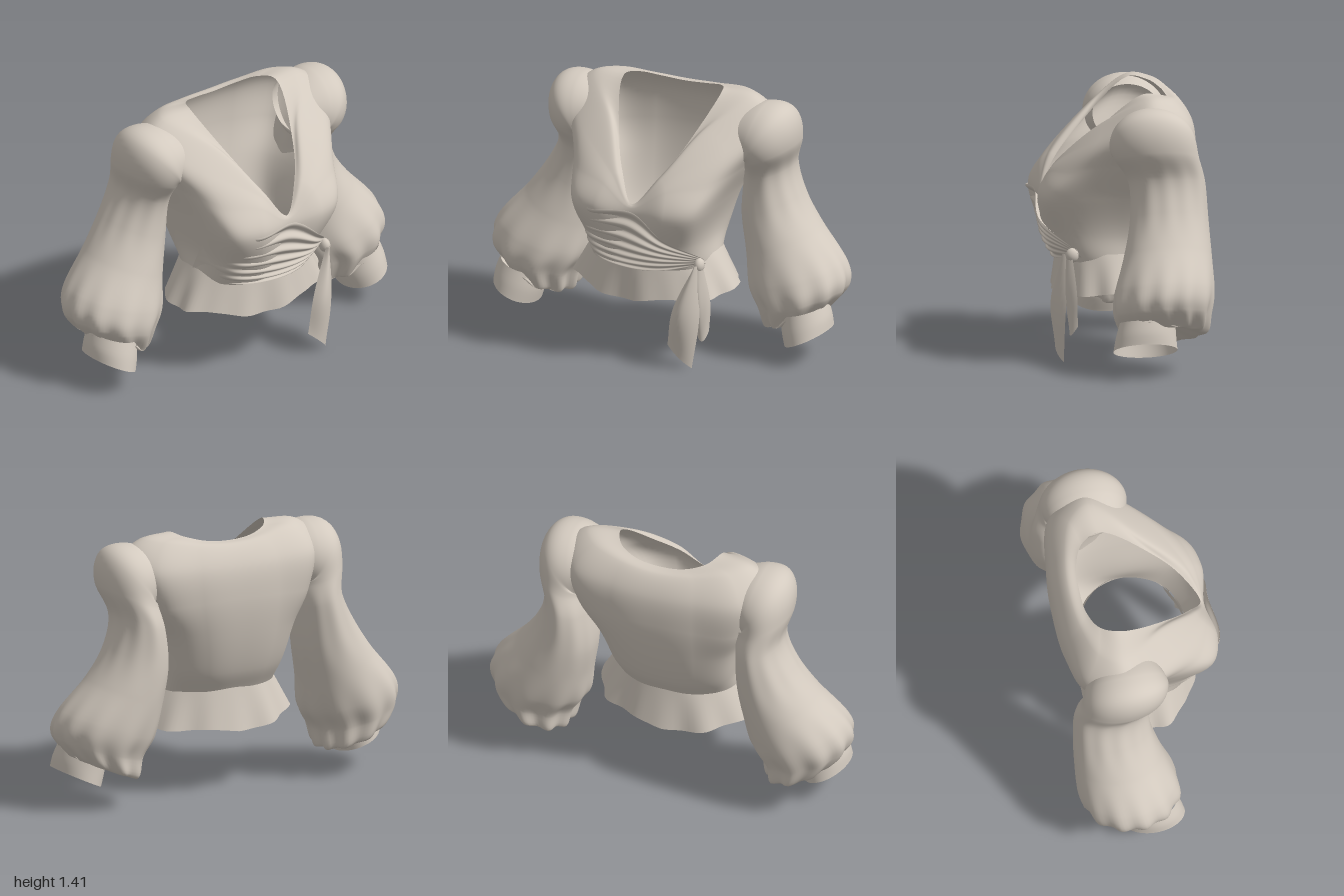
import * as THREE from 'three';
import { ParametricGeometry } from 'three/addons/geometries/ParametricGeometry.js';

const cloth = new THREE.MeshStandardMaterial({ color: 0xd3cabf, side: THREE.DoubleSide });
cloth.name = 'warm ivory cloth';

const vec = (p) => new THREE.Vector3(...p);
const smooth = THREE.MathUtils.smoothstep;
// The upper half of the garment hangs slightly towards +x
const lean = (p) => { p.x += 0.03 * smooth(p.y, 0.7, 1.2); return p; };

function surface(name, fn, slices, stacks) {
  const geo = new ParametricGeometry((u, v, target) => { fn(u, v, target); lean(target); }, slices, stacks);
  const mesh = new THREE.Mesh(geo, cloth);
  mesh.name = name;
  return mesh;
}

// Bodice: loops from waist to neckline, each a half outline from front centre to back centre
const bodiceLoops = [
  [[0, .52, .31], [.15, .52, .30], [.28, .52, .22], [.35, .53, .03], [.28, .55, -.16], [.15, .55, -.24], [0, .55, -.26]],
  [[0, .66, .37], [.16, .66, .37], [.29, .66, .29], [.335, .66, .03], [.31, .66, -.21], [.17, .66, -.30], [0, .66, -.32]],
  [[0, .84, .40], [.2, .87, .43], [.345, .87, .37], [.39, .87, .05], [.36, .87, -.27], [.2, .87, -.36], [0, .87, -.38]],
  [[0, .88, .395], [.18, .99, .375], [.38, 1.02, .275], [.465, 1.05, .02], [.435, 1.05, -.315], [.22, 1.07, -.39], [0, 1.08, -.405]],
  [[0, .89, .39], [.15, 1.03, .34], [.41, 1.18, .15], [.57, 1.28, -.10], [.47, 1.25, -.32], [.22, 1.25, -.375], [0, 1.25, -.385]],
  [[0, .895, .385], [.12, 1.04, .325], [.28, 1.26, .11], [.46, 1.39, -.12], [.38, 1.385, -.24], [.19, 1.36, -.30], [0, 1.35, -.315]],
  [[0, .90, .38], [.10, 1.03, .30], [.18, 1.16, .18], [.28, 1.405, -.10], [.235, 1.395, -.20], [.13, 1.37, -.25], [0, 1.36, -.26]],
];

function makeBodice() {
  const columns = bodiceLoops[0].map((_, c) => new THREE.CatmullRomCurve3(bodiceLoops.map((loop) => vec(loop[c]))));
  const cache = new Map();
  const loopAt = (v) => {
    if (!cache.has(v)) {
      const half = columns.map((c) => c.getPoint(v));
      const other = half.slice(1, -1).reverse().map((p) => new THREE.Vector3(-p.x, p.y, p.z));
      cache.set(v, new THREE.CatmullRomCurve3([...half, ...other], true));
    }
    return cache.get(v);
  };
  return surface('bodice', (u, v, t) => loopAt(v).getPoint(u, t), 96, 48);
}

// Cloth panel spanned by three edge curves, with ripples that fade out at both ends
function makePanel(name, edges, folds, depth, slices, stacks) {
  const curves = edges.map((e) => new THREE.CatmullRomCurve3(e.map(vec)));
  return surface(name, (u, v, t) => {
    const [a, m, b] = curves.map((c) => c.getPoint(u));
    t.copy(a).multiplyScalar((1 - v) * (1 - 2 * v))
      .addScaledVector(m, 4 * v * (1 - v))
      .addScaledVector(b, v * (2 * v - 1));
    t.z += depth * Math.sin(Math.PI * u) * Math.sin(v * folds * Math.PI * 2 + u * 2);
  }, slices, stacks);
}

// Tube through rings: [x, y, z, half width, half depth, tilt in degrees, pleat depth]
function makeTube(name, side, rings, pleats, stacks) {
  const at = (v, k) => {
    const f = Math.min(v * (rings.length - 1), rings.length - 1.000001);
    const i = Math.max(0, Math.floor(f));
    const r = (j) => rings[Math.min(Math.max(j, 0), rings.length - 1)][k];
    const w = f - i, p0 = r(i - 1), p1 = r(i), p2 = r(i + 1), p3 = r(i + 2);
    return p1 + 0.5 * w * (p2 - p0 + w * (2 * p0 - 5 * p1 + 4 * p2 - p3 + w * (3 * (p1 - p2) + p3 - p0)));
  };
  return surface(name, (u, v, t) => {
    const [x, y, z, a, b, tilt, pleat] = [0, 1, 2, 3, 4, 5, 6].map((k) => at(v, k));
    const ang = u * Math.PI * 2, rad = THREE.MathUtils.degToRad(tilt);
    const swell = 1 + pleat * Math.sin(ang * pleats + Math.sin(ang * 2));
    const w = a * swell * Math.cos(ang);
    t.set(side * (x + w * Math.cos(rad)), y + w * Math.sin(rad), z + b * swell * Math.sin(ang));
  }, 88, stacks);
}

const sleeveRings = [
  [.41, 1.19, -.115, .15, .18, 88, 0],
  [.49, 1.19, -.12, .19, .215, 78, 0],
  [.535, 1.18, -.125, .20, .225, 52, 0],
  [.55, 1.11, -.145, .155, .22, 22, 0],
  [.53, .98, -.20, .13, .20, 15, .01],
  [.555, .79, -.21, .168, .205, 22, .01],
  [.625, .605, -.195, .21, .23, 23, 0],
  [.715, .43, -.165, .265, .26, 16, .015],
  [.755, .32, -.15, .24, .25, 16, .04],
  [.735, .21, -.16, .185, .21, 22, .06],
  [.79, .26, -.08, .14, .155, 20, .05],
];
const cuffRings = [
  [.80, .285, -.065, .125, .145, 16, 0],
  [.815, .21, -.055, .135, .158, 20, 0],
  [.83, .14, -.05, .133, .168, 25, 0],
];

// Flared skirt below the waist with a wavy hem
function makePeplum() {
  return surface('peplum', (u, v, t) => {
    const a = u * Math.PI * 2, c = Math.cos(a);
    const wave = v * (0.009 * Math.sin(a * 9) + 0.005 * Math.sin(a * 14 + 1));
    const rx = 0.345 + 0.105 * v + wave;
    const rz = (c > 0 ? 0.28 + 0.02 * v : 0.295 + 0.045 * v) + wave;
    const hem = 0.335 + 0.035 * Math.abs(Math.sin(a)) + 0.01 * Math.sin(a * 5);
    t.set(rx * Math.sin(a), THREE.MathUtils.lerp(0.57, hem, v), 0.03 + rz * c);
  }, 96, 14);
}

export function createModel() {
  const group = new THREE.Group();
  group.name = 'wrapBlouse';
  group.add(makeBodice(), makePeplum());

  // Draped front gathered from the right side across to the knot at the left hip
  group.add(makePanel('wrapFront', [
    [[-.365, .86, .20], [-.22, .86, .43], [.02, .87, .415], [.20, .74, .415], [.36, .60, .25]],
    [[-.345, .70, .10], [-.27, .68, .33], [-.05, .66, .385], [.15, .63, .38], [.36, .58, .24]],
    [[-.35, .54, .03], [-.26, .53, .245], [-.10, .52, .315], [.12, .52, .32], [.36, .56, .22]],
  ], 6, 0.011, 48, 72));

  for (const [side, label] of [[1, 'left'], [-1, 'right']]) {
    group.add(makeTube(label + 'Sleeve', side, sleeveRings, 11, 70));
    group.add(makeTube(label + 'Cuff', side, cuffRings, 1, 8));
  }

  // Knot and hanging sash ends
  const knot = new THREE.Mesh(new THREE.SphereGeometry(0.035, 16, 12), cloth);
  knot.name = 'sashKnot';
  knot.scale.set(0.8, 1.1, 1);
  knot.position.set(0.345, 0.57, 0.27);
  group.add(knot);
  group.add(makePanel('longSashEnd', [
    [[.33, .57, .30], [.22, .32, .33], [.19, .12, .33]],
    [[.34, .58, .32], [.29, .30, .375], [.26, .06, .345]],
    [[.35, .57, .29], [.36, .28, .30], [.32, 0, .31]],
  ], 1, 0.006, 16, 12));
  group.add(makePanel('shortSashEnd', [
    [[.33, .56, .29], [.34, .35, .29], [.34, .17, .28]],
    [[.35, .56, .30], [.37, .35, .30], [.37, .15, .28]],
    [[.37, .55, .27], [.40, .35, .245], [.39, .20, .245]],
  ], 1, 0.006, 16, 12));
  return group;
}
